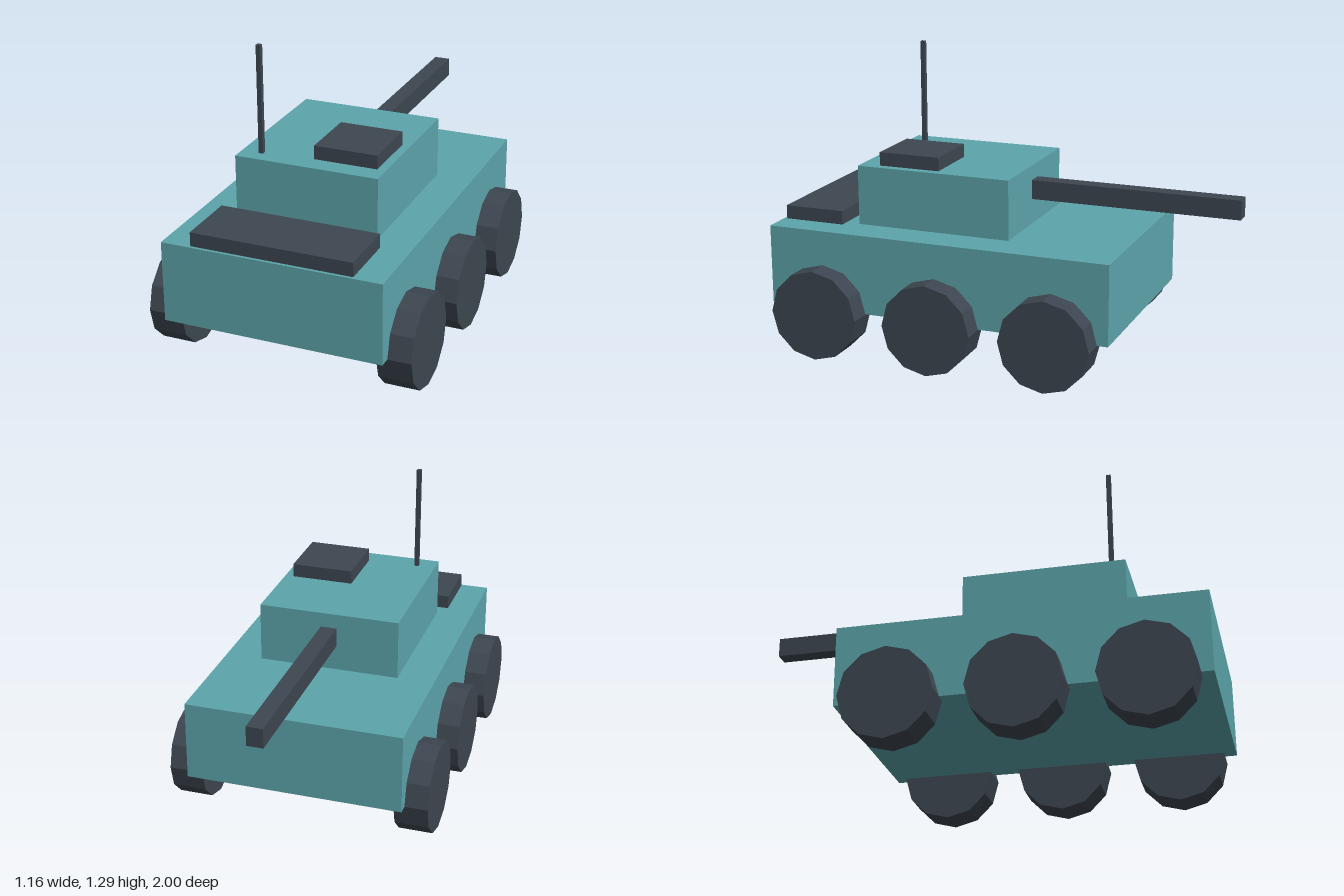
import * as THREE from 'three';

export function createModel() {
  const model = new THREE.Group();
  model.name = 'armouredVehicle';

  const teal = new THREE.MeshStandardMaterial({ color: 0x5ca5ab, flatShading: true });
  teal.name = 'teal paint';
  const dark = new THREE.MeshStandardMaterial({ color: 0x3d4650, flatShading: true });
  dark.name = 'dark metal';

  // Box given by its extents along each axis
  function addBox(name, material, [x0, x1], [y0, y1], [z0, z1]) {
    const mesh = new THREE.Mesh(new THREE.BoxGeometry(x1 - x0, y1 - y0, z1 - z0), material);
    mesh.position.set((x0 + x1) / 2, (y0 + y1) / 2, (z0 + z1) / 2);
    mesh.name = name;
    model.add(mesh);
  }

  // Body
  addBox('hull', teal, [-0.48, 0.48], [0.203, 0.558], [-0.568, 1]);
  addBox('turret', teal, [-0.316, 0.316], [0.558, 0.823], [-0.063, 0.645]);

  // Fittings
  addBox('engineCover', dark, [-0.353, 0.353], [0.558, 0.619], [0.71, 0.987]);
  addBox('hatch', dark, [0, 0.278], [0.823, 0.883], [0.276, 0.556]);
  addBox('antenna', dark, [-0.239, -0.219], [0.823, 1.293], [0.563, 0.583]);
  addBox('gunBarrel', dark, [-0.036, 0.036], [0.671, 0.757], [-1, -0.063]);

  // Three twelve-sided wheels on each side
  const radius = 0.202;
  const wheelGeometry = new THREE.CylinderGeometry(radius, radius, 0.15, 12).rotateZ(Math.PI / 2);
  for (const side of [1, -1]) {
    for (const z of [-0.318, 0.214, 0.746]) {
      const wheel = new THREE.Mesh(wheelGeometry, dark);
      wheel.position.set(side * 0.506, radius, z);
      wheel.name = side > 0 ? 'leftWheel' : 'rightWheel';
      model.add(wheel);
    }
  }

  return model;
}
